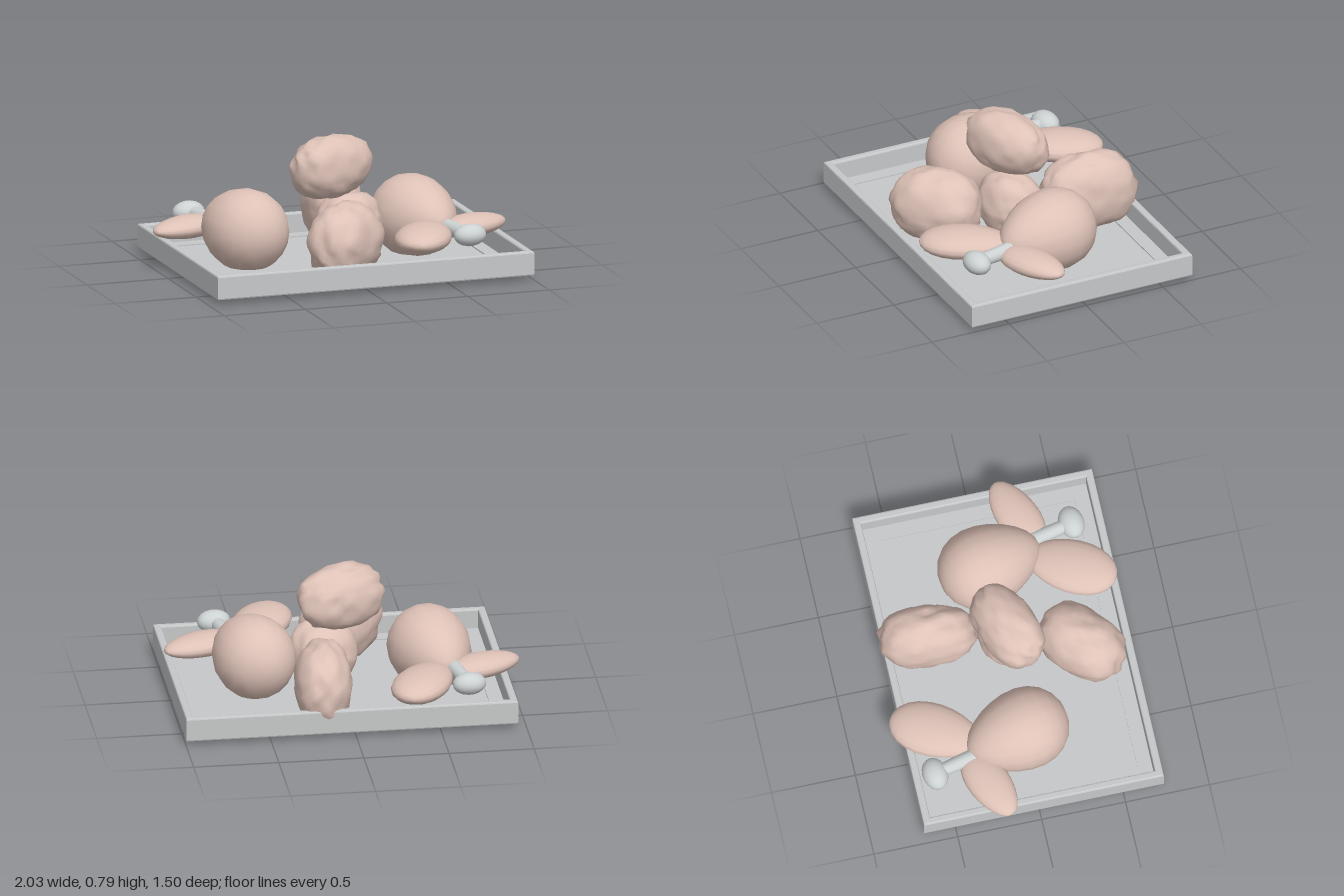
import * as THREE from 'three';
import { mergeVertices } from 'three/addons/utils/BufferGeometryUtils.js';

const meat = new THREE.MeshStandardMaterial({ name: 'roast pink', color: 0xdec2b7 });
const steel = new THREE.MeshStandardMaterial({ name: 'tray grey', color: 0xc6c8c9 });
const bone = new THREE.MeshStandardMaterial({ name: 'bone grey', color: 0xcdd2d3 });

function add(parent, name, geometry, material, x = 0, y = 0, z = 0) {
  const mesh = new THREE.Mesh(geometry, material);
  mesh.name = name;
  mesh.position.set(x, y, z);
  parent.add(mesh);
  return mesh;
}

// Moves every vertex of a geometry by a rule, then rebuilds smooth normals
function reshape(source, rule) {
  source.deleteAttribute('uv');
  source.deleteAttribute('normal');
  const geometry = mergeVertices(source, 1e-4);
  const p = geometry.attributes.position;
  const v = new THREE.Vector3();
  for (let i = 0; i < p.count; i++) {
    v.fromBufferAttribute(p, i);
    rule(v);
    p.setXYZ(i, v.x, v.y, v.z);
  }
  geometry.computeVertexNormals();
  return geometry;
}

// Egg lying along z; a positive taper narrows its +z end
function egg(rx, ry, rz, taper) {
  return reshape(new THREE.SphereGeometry(1, 18, 12).rotateX(Math.PI / 2), (v) => {
    const k = 1 - taper * v.z;
    v.set(v.x * rx * k, v.y * ry * k, v.z * rz);
  });
}

// Boxy ellipsoid along z with folds and lumps
function lump(rx, ry, rz, seed) {
  const s = seed * 1.7;
  return reshape(new THREE.IcosahedronGeometry(1, 6), (v) => {
    const { x, y, z } = v;
    const boxy = Math.pow(x ** 4 + y ** 4 + z ** 4, -0.07);
    const broad = Math.sin(3.1 * x + s) * Math.sin(2.7 * y - s) + Math.sin(3.4 * z + 2 * s) * 0.6;
    const fold = Math.abs(Math.sin(4.2 * x + 3.1 * y - 2.3 * z + s + Math.sin(5 * y + s)));
    const fine = Math.sin(9 * x + s) * Math.sin(8 * y + 2 * s) * Math.sin(10 * z - s);
    const k = boxy * (0.92 + 0.035 * broad + 0.06 * fold + 0.045 * fine);
    v.set(x * rx * k, y * ry * k, z * rz * k);
  });
}

function rectangle(Type, w, d) {
  const s = new Type();
  s.moveTo(-w, -d);
  s.lineTo(w, -d);
  s.lineTo(w, d);
  s.lineTo(-w, d);
  s.closePath();
  return s;
}

// Frame of given outer and inner half sizes, rising from y = 0
function frame(w, d, iw, id, height, bevel) {
  const shape = rectangle(THREE.Shape, w - bevel, d - bevel);
  shape.holes.push(rectangle(THREE.Path, iw + bevel, id + bevel));
  return new THREE.ExtrudeGeometry(shape, {
    depth: height - 2 * bevel, bevelEnabled: bevel > 0,
    bevelThickness: bevel, bevelSize: bevel, bevelSegments: 2,
  }).rotateX(-Math.PI / 2).translate(0, bevel, 0);
}

function makeTray() {
  const tray = new THREE.Group();
  tray.name = 'tray';
  tray.position.set(0.025, 0.03, 0.025);
  add(tray, 'trayRim', frame(0.975, 0.715, 0.93, 0.67, 0.145, 0.01), steel);
  add(tray, 'trayFloor', new THREE.BoxGeometry(1.9, 0.02, 1.38), steel, 0, 0.01, 0);
  add(tray, 'floorLedge', frame(0.935, 0.675, 0.845, 0.585, 0.027, 0), steel);
  return tray;
}

function makeBird() {
  const bird = new THREE.Group();
  bird.name = 'roastBird';
  add(bird, 'body', egg(0.236, 0.24, 0.312, 0.2), meat, 0.52, 0.262, 0.025).rotation.y = 0.2;
  add(bird, 'thigh', egg(0.165, 0.08, 0.27, 0.1), meat, 0.405, 0.253, 0.49).rotation.y = 2.65;
  add(bird, 'wing', egg(0.125, 0.066, 0.235, 0.1), meat, 0.79, 0.243, 0.245).rotation.y = 1.95;

  // Leg bone with a rounded knuckle
  const from = new THREE.Vector3(0.6, 0.258, 0.25);
  const to = new THREE.Vector3(0.665, 0.258, 0.54);
  const shaft = add(bird, 'boneShaft',
    new THREE.CylinderGeometry(0.038, 0.048, from.distanceTo(to), 14), bone);
  shaft.position.copy(from).lerp(to, 0.5);
  shaft.quaternion.setFromUnitVectors(new THREE.Vector3(0, 1, 0), to.clone().sub(from).normalize());
  add(bird, 'boneKnuckle', egg(0.1, 0.066, 0.074, 0), bone, 0.67, 0.257, 0.545).rotation.y = 0.15;
  return bird;
}

export function createModel() {
  const model = new THREE.Group();
  model.name = 'roastPlatter';
  model.add(makeTray());

  // Two birds facing opposite ways
  const leftBird = makeBird();
  const rightBird = makeBird();
  rightBird.rotation.y = Math.PI;
  rightBird.position.set(-0.01, -0.005, -0.02);
  model.add(leftBird, rightBird);

  // Lumpy joints: name, position, radii, turn
  const joints = [
    ['frontJoint', [-0.065, 0.25, 0.445], [0.19, 0.235, 0.285], -0.8],
    ['topJoint', [0, 0.6, 0.015], [0.17, 0.19, 0.285], -1.15],
    ['backJoint', [0.16, 0.25, -0.425], [0.17, 0.25, 0.3], -0.1],
    ['middleJoint', [0.1, 0.25, 0.04], [0.18, 0.2, 0.21], -1.3],
  ];
  joints.forEach(([name, at, radii, turn], i) => {
    add(model, name, lump(...radii, i + 1), meat, ...at).rotation.y = turn;
  });
  return model;
}
